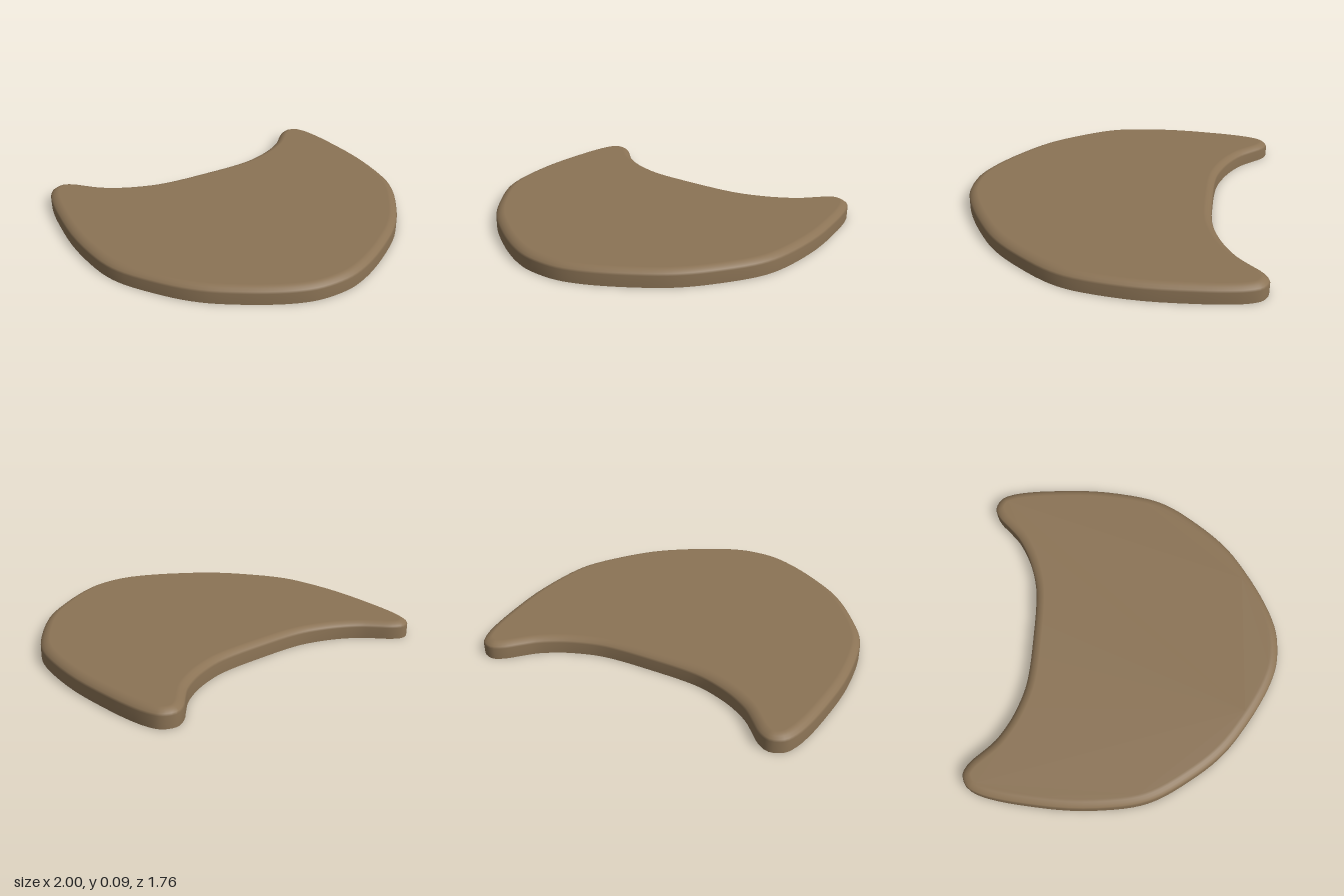
import * as THREE from 'three';

// Half of the plate outline as [x, z], from the rounded front to the middle of the rear notch
const half = [
  [0, 0.877], [0.11, 0.868], [0.22, 0.833], [0.34, 0.775], [0.46, 0.703], [0.6, 0.605],
  [0.7, 0.51], [0.8, 0.385], [0.9, 0.235], [0.95, 0.12], [0.982, -0.04], [1, -0.28],
  [0.987, -0.53], [0.97, -0.68], [0.945, -0.79], [0.91, -0.855], [0.84, -0.884],
  [0.775, -0.855], [0.71, -0.79], [0.64, -0.722], [0.53, -0.655], [0.43, -0.614],
  [0.32, -0.583], [0.2, -0.57], [0, -0.567],
];

// Rim section as [inset, height]: upright wall, then a rounded shoulder
const rim = [[0, 0], [0, 0.065], [0.006, 0.076], [0.02, 0.086], [0.035, 0.093], [0.05, 0.095]];

// Smooth closed outline with its outward directions
function outline(count) {
  const mirrored = half.slice(1, -1).reverse().map(([x, z]) => [-x, z]);
  const points = [...half, ...mirrored].map(([x, z]) => new THREE.Vector3(x, 0, z));
  const curve = new THREE.CatmullRomCurve3(points, true);
  return Array.from({ length: count }, (_, i) => {
    const p = curve.getPoint(i / count);
    const t = curve.getTangent(i / count);
    return { x: p.x, z: p.z, nx: -t.z, nz: t.x };
  });
}

// Shell open at the bottom: rim loops closed by a flat top
function plateGeometry() {
  const count = 144;
  const loop = outline(count);
  const positions = [];
  const index = [];
  rim.forEach(([inset, y], r) => {
    loop.forEach((p, i) => {
      positions.push(p.x - p.nx * inset, y, p.z - p.nz * inset);
      if (r === rim.length - 1) return;
      const a = r * count + i;
      const b = r * count + (i + 1) % count;
      index.push(a, b, b + count, a, b + count, a + count);
    });
  });

  // Flat top
  const inset = rim[rim.length - 1][0];
  const first = (rim.length - 1) * count;
  const contour = loop.map((p) => new THREE.Vector2(p.x - p.nx * inset, -(p.z - p.nz * inset)));
  for (const face of THREE.ShapeUtils.triangulateShape(contour, [])) {
    index.push(...face.map((v) => first + v));
  }

  const geometry = new THREE.BufferGeometry();
  geometry.setAttribute('position', new THREE.Float32BufferAttribute(positions, 3));
  geometry.setIndex(index);
  geometry.computeVertexNormals();

  // Keep the flat top level right up to the shoulder
  const normal = geometry.attributes.normal;
  for (let i = first; i < first + count; i++) normal.setXYZ(i, 0, 1, 0);
  return geometry;
}

export function createModel() {
  const group = new THREE.Group();
  group.name = 'curvedPlate';
  const brown = new THREE.MeshStandardMaterial({ color: 0x8b7355, side: THREE.DoubleSide });
  brown.name = 'brown';
  const plate = new THREE.Mesh(plateGeometry(), brown);
  plate.name = 'plateShell';
  group.add(plate);
  return group;
}
